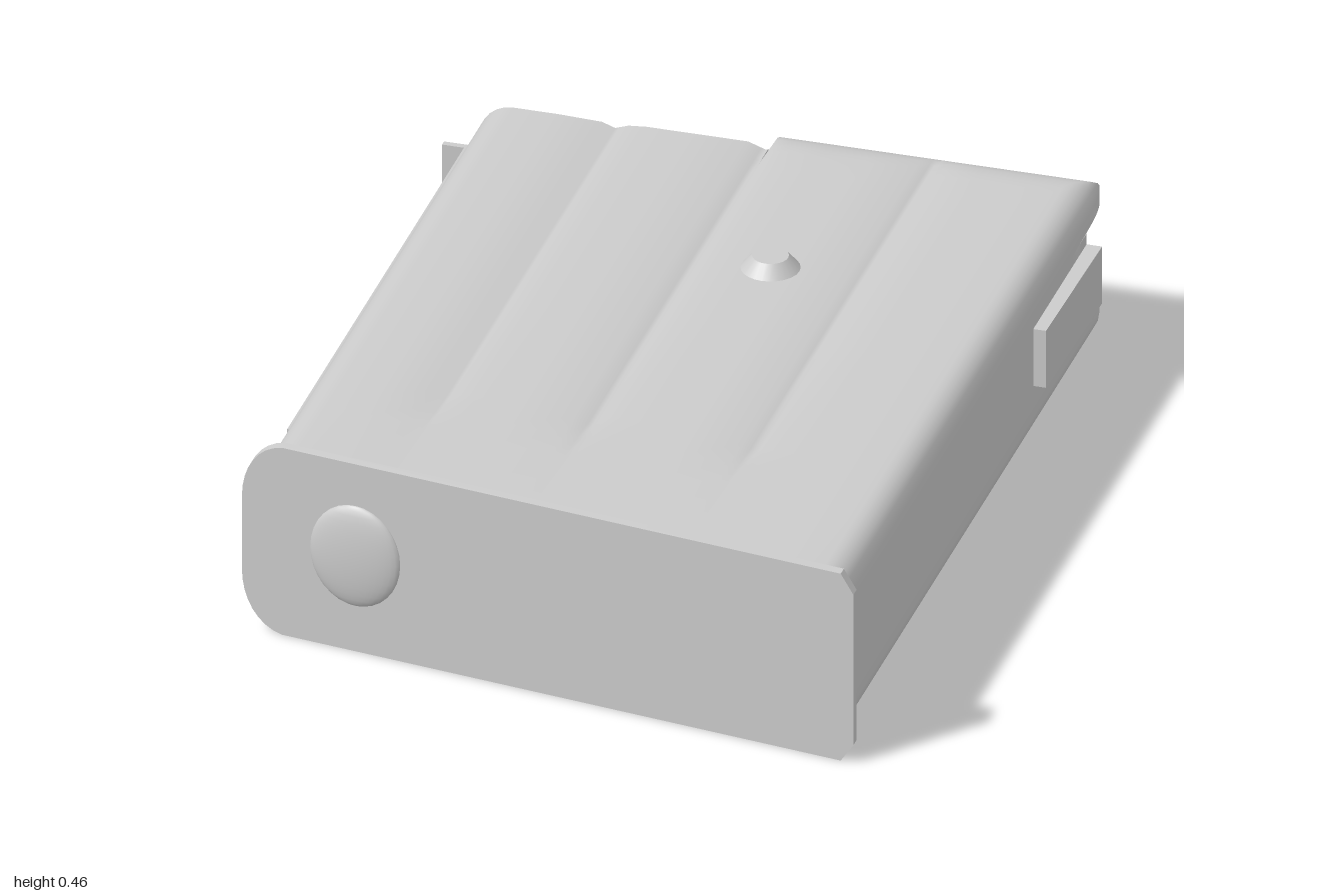
import * as THREE from 'three';
import { toCreasedNormals } from 'three/addons/utils/BufferGeometryUtils.js';

const MID = 0.23, HALF = 0.2, SLOPE = 0.149;
const material = new THREE.MeshStandardMaterial({ color: 0xcccccc, side: THREE.DoubleSide });

function add(group, name, geometry, x = 0, y = 0, z = 0) {
  const mesh = new THREE.Mesh(geometry, material);
  mesh.name = name;
  mesh.position.set(x, y, z);
  group.add(mesh);
  return mesh;
}

// Upper half of the body's cross-section, from the +x wall over to the -x wall
function halfSection() {
  const pts = [[0.7, 0], [0.7, 0.05], [0.7, 0.104], [0.7, 0.107]];
  const arc = (cx, cy, r, from) => {
    for (let i = 0; i <= 6; i++) {
      const a = from + (i / 6) * Math.PI / 2;
      pts.push([cx + r * Math.cos(a), cy + r * Math.sin(a)]);
    }
  };
  arc(0.64, HALF - 0.06, 0.06, 0);
  const xs = [0.55, 0.45, 0.37, 0.35, 0.34, 0.33, 0.31, 0.2, 0.1, 0.02, -0.01, -0.02, -0.025, -0.03,
    -0.04, -0.07, -0.2, -0.3, -0.34, -0.36, -0.37, -0.38, -0.4, -0.5];
  xs.forEach(x => pts.push([x, HALF]));
  arc(-0.6, HALF - 0.075, 0.075, Math.PI / 2);
  pts.push([-0.675, 0.06], [-0.675, 0]);
  return pts;
}

// Sleeve with pressed grooves, open at the back, with curled feed lips on one half
function bodyGeometry() {
  const upper = halfSection();
  const ring = [...upper, ...upper.slice(1, -1).reverse().map(([x, y]) => [x, -y])];
  const along = [1, 0.85, 0.8, 0.75, 0.5, 0.25, 0.12, 0.08, 0.065, 0.05, 0.04, 0.03, 0.02, 0.012, 0.005, 0];
  // Outer skin to the mouth, then back along the inner skin
  const stations = [...along.map(s => [s, 0]), ...along.slice(4).reverse().map(s => [s, 0.022])];
  const positions = [], index = [], n = ring.length;
  for (const [s, inset] of stations) {
    for (const [x, y] of ring) {
      const slot = x > 0.69 && Math.abs(y) < 0.105;
      const back = slot ? -0.85 : x > -0.022 ? -1 : -0.87;
      const front = 0.872 + SLOPE * x;
      const z = back + (front - back) * s;
      let h = Math.abs(y);
      if (h > HALF - 0.001) {
        const fade = 1 - THREE.MathUtils.smoothstep(z, 0.4, 0.6);
        for (const g of [-0.37, -0.03, 0.34]) h -= 0.014 * fade * Math.max(0, 1 - Math.abs(x - g) / 0.04);
      }
      let px = x;
      if (x > -0.022 && z < -0.86) {
        const u = Math.min(1, (-0.86 - z) / 0.14);
        const curl = 1 - Math.sqrt(1 - u * u);
        h = Math.min(h, HALF - 0.1 * curl);
        px = Math.min(x, 0.7 - 0.02 * curl);
      }
      h = Math.min(h, Math.max(0.1, HALF - inset) - (inset && h > 0.17 ? 0.012 : 0));
      px = THREE.MathUtils.clamp(px, -0.675 + inset, 0.7 - inset);
      positions.push(px, MID + Math.sign(y) * h, z);
    }
  }
  for (let i = 0; i < stations.length - 1; i++) {
    for (let j = 0; j < n; j++) {
      const k = (j + 1) % n, a = i * n + j, b = i * n + k, c = a + n, d = b + n;
      index.push(a, c, b, b, c, d);
    }
  }
  const geometry = new THREE.BufferGeometry();
  geometry.setAttribute('position', new THREE.Float32BufferAttribute(positions, 3));
  geometry.setIndex(index);
  return toCreasedNormals(geometry, 0.7);
}

// Slanted floor plate: chamfered on one edge, rounded on the other
function floorPlateGeometry() {
  const s = new THREE.Shape();
  s.moveTo(0.70, 0);
  s.lineTo(0.73, 0.045);
  s.lineTo(0.73, 0.415);
  s.lineTo(0.70, 0.46);
  s.lineTo(-0.62, 0.46);
  s.bezierCurveTo(-0.68, 0.45, -0.715, 0.39, -0.715, 0.32);
  s.lineTo(-0.715, 0.14);
  s.bezierCurveTo(-0.715, 0.07, -0.68, 0.01, -0.62, 0);
  s.closePath();
  const g = new THREE.ExtrudeGeometry(s, { depth: 0.024, bevelEnabled: false, curveSegments: 8 });
  const p = g.attributes.position;
  for (let i = 0; i < p.count; i++) p.setZ(i, p.getZ(i) + 0.867 + SLOPE * p.getX(i));
  return toCreasedNormals(g, 0.5);
}

// Stepped follower with a smooth swoop between its two levels
function followerGeometry() {
  const s = new THREE.Shape();
  s.moveTo(0.65, 0.6);
  s.lineTo(0.65, 0.83);
  s.lineTo(0.1, 0.83);
  s.bezierCurveTo(-0.06, 0.83, -0.06, 0.72, -0.22, 0.72);
  s.lineTo(-0.62, 0.72);
  s.lineTo(-0.62, 0.6);
  s.closePath();
  const g = new THREE.ExtrudeGeometry(s, {
    depth: 0.22, bevelThickness: 0.05, bevelSize: 0.05, bevelOffset: -0.05, bevelSegments: 4, curveSegments: 12,
  });
  g.translate(0, 0, -0.11).rotateX(-Math.PI / 2);
  return toCreasedNormals(g, 0.6);
}

export function createModel() {
  const model = new THREE.Group();
  model.name = 'boxMagazine';

  add(model, 'body', bodyGeometry());
  add(model, 'floorPlate', floorPlateGeometry());
  add(model, 'follower', followerGeometry(), 0, MID, 0);

  // Domed button on the floor plate
  const button = add(model, 'floorPlateButton', new THREE.SphereGeometry(1, 32, 16), -0.447, 0.235, 0.823);
  button.scale.set(0.108, 0.123, 0.026);
  button.rotation.y = -Math.atan(SLOPE);

  // Pressed stop bumps on both broad faces
  for (const side of [1, -1]) {
    const bump = add(model, 'stopBump', new THREE.CylinderGeometry(0.04, 0.07, 0.035, 24), 0.14, MID + side * 0.212, -0.34);
    if (side < 0) bump.rotation.x = Math.PI;
  }

  // Catch strip on the +x wall, slightly tapered
  const catchStrip = new THREE.BoxGeometry(0.04, 0.14, 0.4);
  const p = catchStrip.attributes.position;
  for (let i = 0; i < p.count; i++) if (p.getX(i) > 0 && p.getZ(i) > 0) p.setX(i, 0.014);
  add(model, 'catchStrip', catchStrip, 0.715, 0.238, -0.65);

  // Spine strip on the -x wall with an outward tab at its back end
  add(model, 'spineStrip', new THREE.BoxGeometry(0.025, 0.25, 1.34), -0.677, MID, -0.14);
  add(model, 'spineTab', new THREE.BoxGeometry(0.07, 0.25, 0.015), -0.704, MID, -0.805);

  return model;
}
